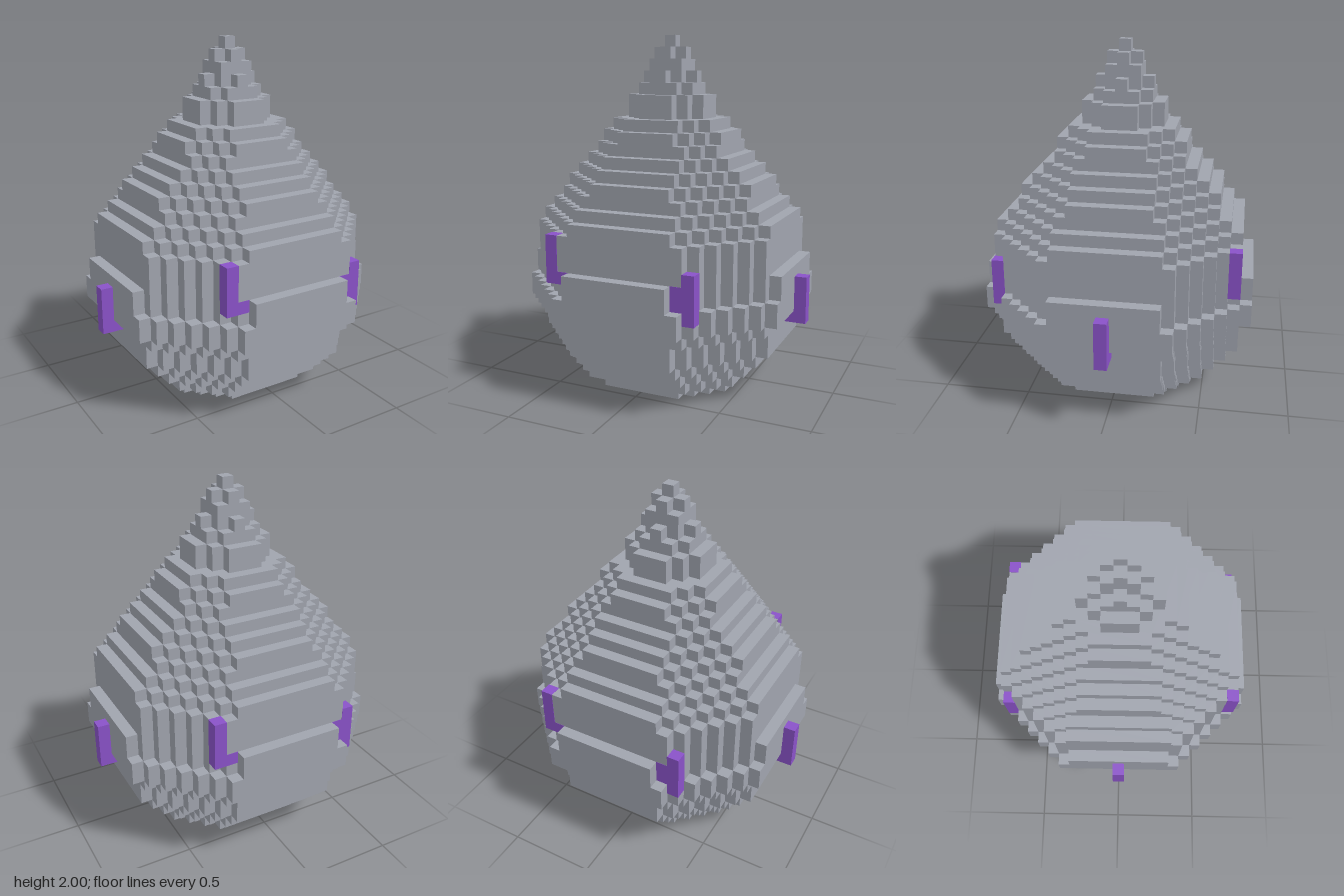
import * as THREE from 'three';
import { mergeGeometries } from 'three/addons/utils/BufferGeometryUtils.js';

const U = 1 / 15; // edge of one cube

// Runs of equal layers from the bottom up: [layers, reach along an axis, reach |x| + |z|]
const RUNS = [
  [1, 6, 9], [1, 7, 11], [1, 8, 12], [1, 9, 13], [2, 10, 14], [1, 10, 15],
  [2, 11, 16], [2, 11, 15], [3, 10, 15], [1, 10, 14], [1, 9, 13], [1, 8, 12],
  [1, 8, 11], [1, 7, 10], [1, 6, 9], [1, 5, 8], [1, 5, 7], [1, 4, 6],
  [2, 3, 4], [1, 2, 3], [1, 2, 2], [1, 1, 2], [1, 1, 1], [1, 0, 0],
];

// Octagonal slab with stair-stepped diagonals
function slab(layers, reach, diagonal, base) {
  const corner = [];
  for (let k = diagonal - reach; k <= reach; k++) {
    const x = diagonal - k + 0.5;
    if (k > diagonal - reach) corner.push([x, k - 0.5]);
    corner.push([x, k + 0.5]);
  }
  const points = [];
  for (let q = 0; q < 4; q++) {
    for (const [x, y] of corner) {
      const p = [[x, y], [-y, x], [-x, -y], [y, -x]][q];
      points.push(new THREE.Vector2(p[0] * U, p[1] * U));
    }
  }
  const geo = new THREE.ExtrudeGeometry(new THREE.Shape(points), { depth: layers * U, bevelEnabled: false });
  return geo.rotateX(-Math.PI / 2).translate(0, base * U, 0);
}

// Block of cubes in one column, a hair proud so it covers the wall it sits in
function block(x, z, layer, height) {
  const e = 0.003;
  return new THREE.BoxGeometry(U + e, height * U + e, U + e)
    .translate(x * U, (layer + height / 2) * U, z * U);
}

export function createModel() {
  const group = new THREE.Group();
  const stone = new THREE.MeshStandardMaterial({ color: 0xa0a4ae });
  stone.name = 'grey';
  const violet = new THREE.MeshStandardMaterial({ color: 0x8a52c8 });
  violet.name = 'purple';

  // Drop-shaped body
  const slabs = [];
  let base = 0;
  for (const [layers, reach, diagonal] of RUNS) {
    slabs.push(slab(layers, reach, diagonal, base));
    base += layers;
  }
  const body = new THREE.Mesh(mergeGeometries(slabs), stone);
  body.name = 'body';
  group.add(body);

  // Six hooks around the waist, repeated at half a turn
  const hooks = {
    sideHook: [[12, 0, 6, 4], [11, 0, 6, 1]],
    lowHook: [[6, 10, 8, 4], [5, 10, 9, 2]],
    highHook: [[-6, 10, 10, 4], [-5, 10, 10, 1]],
  };
  for (const [name, blocks] of Object.entries(hooks)) {
    for (const s of [1, -1]) {
      const geo = mergeGeometries(blocks.map(([x, z, y, h]) => block(s * x, s * z, y, h)));
      const hook = new THREE.Mesh(geo, violet);
      hook.name = name + (s > 0 ? 'Front' : 'Back');
      if (name === 'sideHook') hook.name = name + (s > 0 ? 'Left' : 'Right');
      group.add(hook);
    }
  }
  return group;
}
